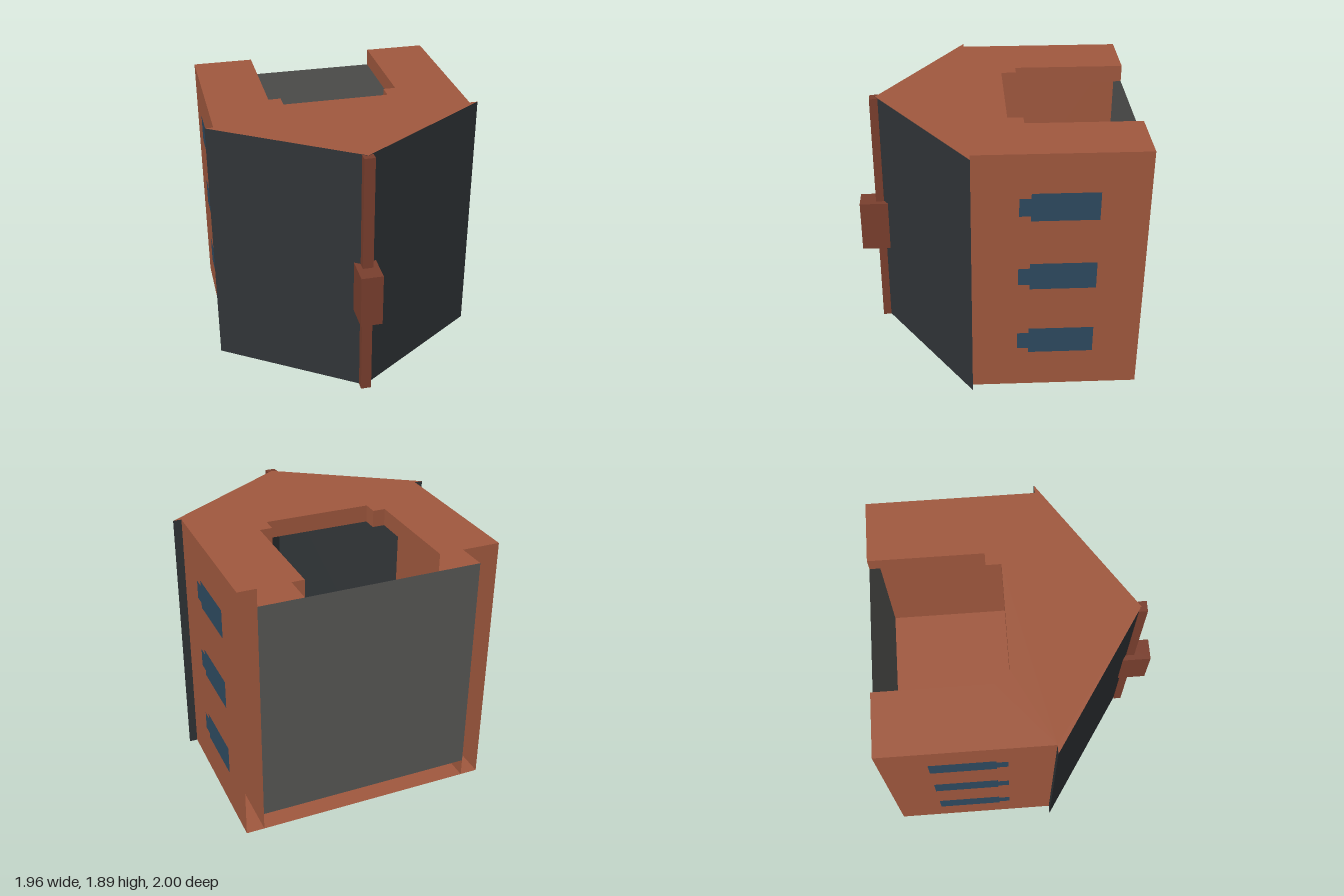
import * as THREE from 'three';

const H = 1.895;            // full height
const LOW = 0.13, HIGH = 1.77; // inner floor and ceiling

const mat = (color) => new THREE.MeshStandardMaterial({ color, flatShading: true, side: THREE.DoubleSide });

export function createModel() {
  const group = new THREE.Group();
  const brick = mat(0xa0583e), trim = mat(0x7a3f2e), dark = mat(0x303437);
  const glass = mat(0x2e4a60), grey = mat(0x595957);

  const add = (name, geometry, material) => {
    const mesh = new THREE.Mesh(geometry, material);
    mesh.name = name;
    group.add(mesh);
    return mesh;
  };

  // Flat horizontal sheet from [x, z] corners
  const sheet = (name, pts, y, material) => {
    const shape = new THREE.Shape(pts.map(([x, z]) => new THREE.Vector2(x, -z)));
    add(name, new THREE.ShapeGeometry(shape).rotateX(-Math.PI / 2).translate(0, y, 0), material);
  };

  // Upright strip of wall following [x, z] corners
  const wall = (name, pts, y0, y1, material) => {
    const v = [];
    for (let i = 0; i < pts.length - 1; i++) {
      const [ax, az] = pts[i], [bx, bz] = pts[i + 1];
      v.push(ax, y0, az, bx, y0, bz, bx, y1, bz, ax, y0, az, bx, y1, bz, ax, y1, az);
    }
    const g = new THREE.BufferGeometry();
    g.setAttribute('position', new THREE.Float32BufferAttribute(v, 3));
    g.computeVertexNormals();
    add(name, g, material);
  };

  const box = (name, w, y0, y1, z0, z1, material) =>
    add(name, new THREE.BoxGeometry(w, y1 - y0, z1 - z0).translate(0, (y0 + y1) / 2, (z0 + z1) / 2), material);

  // Plan outlines: pointed front with small lips, and the room inside it
  const front = [[-0.92, 0.19], [-0.98, 0.19], [0, 0.84], [0.98, 0.19], [0.92, 0.19]];
  const roomFront = [[-0.79, 0.18], [0, 0.70], [0.79, 0.18]];
  const notch = [[0.475, -1], [0.475, -0.19], [0.385, -0.19], [0.385, -0.08],
    [-0.385, -0.08], [-0.385, -0.19], [-0.475, -0.19], [-0.475, -1]];
  const outer = [[-0.92, -1], ...front, [0.92, -1]];
  const inner = [[-0.79, -1], ...roomFront, [0.79, -1]];

  // Roof and ceiling share the stepped opening; its edge joins them
  sheet('roof', [...outer, ...notch], H, brick);
  sheet('ceiling', [...inner, ...notch], HIGH, brick);
  wall('roofOpeningEdge', notch, HIGH, H, brick);
  sheet('base', outer, 0, brick);
  sheet('roomFloor', inner, LOW, brick);

  // Front panels and their inner lining
  wall('frontPanels', front, 0, H, dark);
  wall('frontLining', roomFront, 0, H, dark);

  // Hollow side walls with stepped windows
  for (const s of [1, -1]) {
    const side = s > 0 ? 'left' : 'right';
    wall(side + 'OuterWall', s > 0 ? [[0.92, 0.19], [0.92, -1]] : [[-0.92, -1], [-0.92, 0.19]], 0, H, brick);
    wall(side + 'InnerWall', s > 0 ? [[0.79, -1], [0.79, 0.18]] : [[-0.79, 0.18], [-0.79, -1]], 0, H, brick);
    for (const y of [0.398, 0.95, 1.5]) {
      const outline = [[-0.67, -0.105], [-0.21, -0.105], [-0.21, -0.067], [-0.13, -0.067],
        [-0.13, 0.067], [-0.21, 0.067], [-0.21, 0.105], [-0.67, 0.105]];
      const shape = new THREE.Shape(outline.map(([z, h]) => new THREE.Vector2(-s * z, h)));
      const pane = add(side + 'Window', new THREE.ShapeGeometry(shape), glass);
      pane.rotation.y = s * Math.PI / 2;
      pane.position.set(s * 0.923, y, 0);
    }
  }

  // Back panel closing the room
  wall('backPanel', [[0.79, -1], [-0.79, -1]], LOW, HIGH, grey);

  // Front post and its block
  box('frontPost', 0.076, 0.002, H - 0.002, 0.82, 0.88, trim);
  box('frontBlock', 0.156, 0.66, 1.055, 0.79, 1, trim);

  return group;
}
